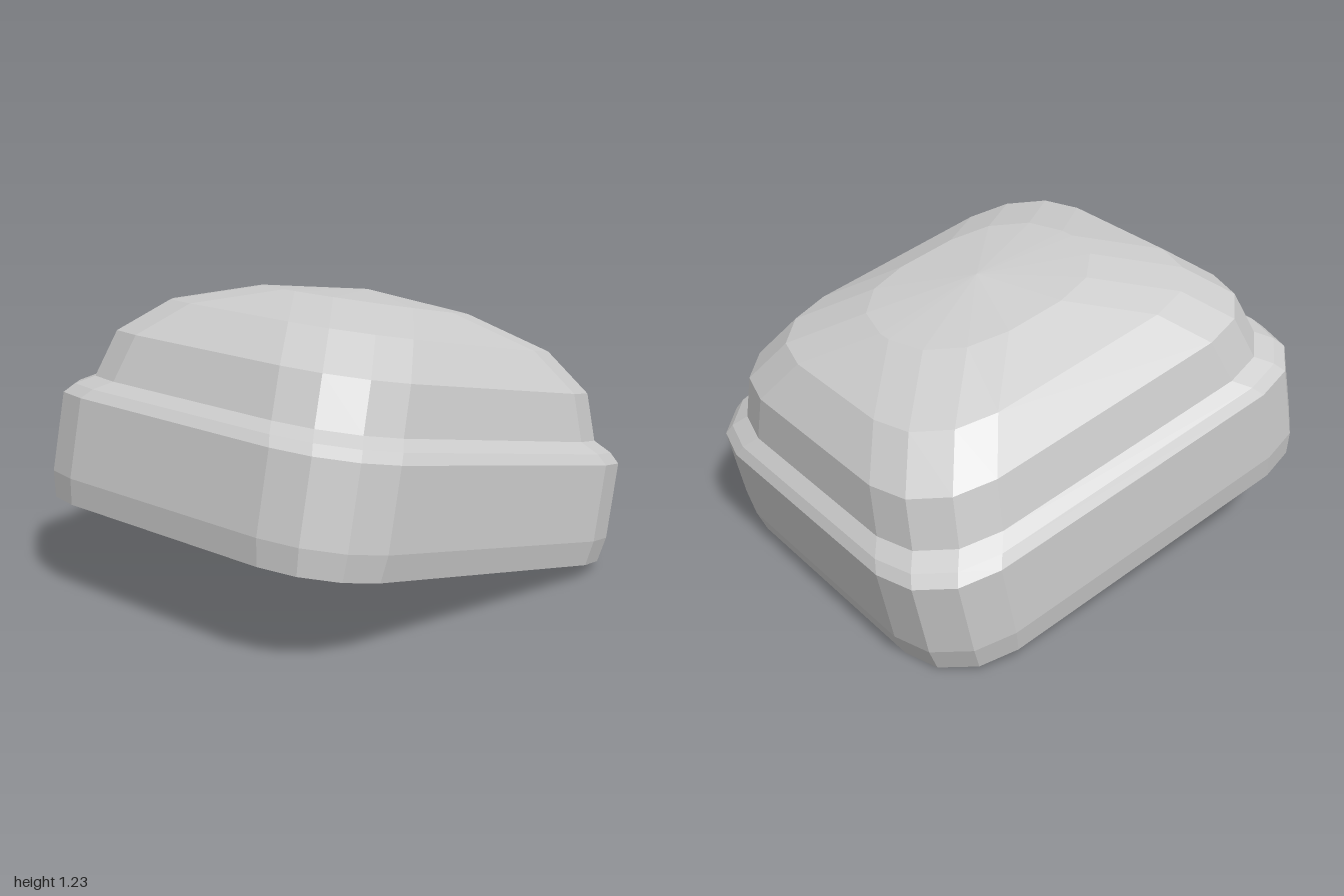
import * as THREE from 'three';

const stone = new THREE.MeshStandardMaterial({ color: 0xcccccc });
stone.name = 'pale grey';

// Rounded rectangle at height y: half width, half length, corner radius
function ring([y, hx, hz, r]) {
  const pts = [];
  for (let corner = 0; corner < 4; corner++) {
    const sx = corner === 0 || corner === 3 ? 1 : -1;
    const sz = corner < 2 ? 1 : -1;
    for (let i = 0; i < 4; i++) {
      const a = (corner * 90 + i * 30) * Math.PI / 180;
      pts.push([sx * (hx - r) + r * Math.cos(a), y, sz * (hz - r) + r * Math.sin(a)]);
    }
  }
  return pts;
}

// Faceted skin through a stack of rings; a fan closes an end that is given a centre height
function loft(sections, { bottomY, topY }) {
  const rings = sections.map(ring);
  const pos = [];
  const tri = (a, b, c) => pos.push(...a, ...b, ...c);
  const n = rings[0].length;
  const last = rings[rings.length - 1];
  for (let i = 0; i < n; i++) {
    const j = (i + 1) % n;
    for (let k = 0; k < rings.length - 1; k++) {
      const lo = rings[k], hi = rings[k + 1];
      tri(lo[i], hi[i], hi[j]);
      tri(lo[i], hi[j], lo[j]);
    }
    if (bottomY !== undefined) tri([0, bottomY, 0], rings[0][i], rings[0][j]);
    if (topY !== undefined) tri([0, topY, 0], last[j], last[i]);
  }
  const g = new THREE.BufferGeometry();
  g.setAttribute('position', new THREE.Float32BufferAttribute(pos, 3));
  g.computeVertexNormals(); // unshared corners give flat facets
  return g;
}

export function createModel() {
  const model = new THREE.Group();
  model.name = 'domedBlock';

  // Everything sits on a base plane that rises toward the front
  const tilted = new THREE.Group();
  tilted.name = 'tiltedBody';
  tilted.position.set(0, 0.2025, 0.055);
  tilted.rotation.x = -0.2112;
  model.add(tilted);

  // Bevelled base block with a shallow dished underside
  const base = new THREE.Mesh(loft([
    [0.03, 0.713, 0.847, 0.24],
    [0, 0.833, 0.967, 0.31],
    [0.105, 0.853, 0.99, 0.33],
    [0.425, 0.853, 0.99, 0.33],
    [0.466, 0.826, 0.963, 0.335],
    [0.507, 0.773, 0.908, 0.335],
  ], { bottomY: 0.03 }), stone);
  base.name = 'base';

  // Cushion-like dome rising to a shallow point
  const dome = new THREE.Mesh(loft([
    [0.507, 0.773, 0.908, 0.335],
    [0.699, 0.732, 0.862, 0.335],
    [0.85, 0.6, 0.718, 0.33],
    [0.956, 0.36, 0.457, 0.33],
  ], { topY: 1.0 }), stone);
  dome.name = 'dome';

  tilted.add(base, dome);
  return model;
}
